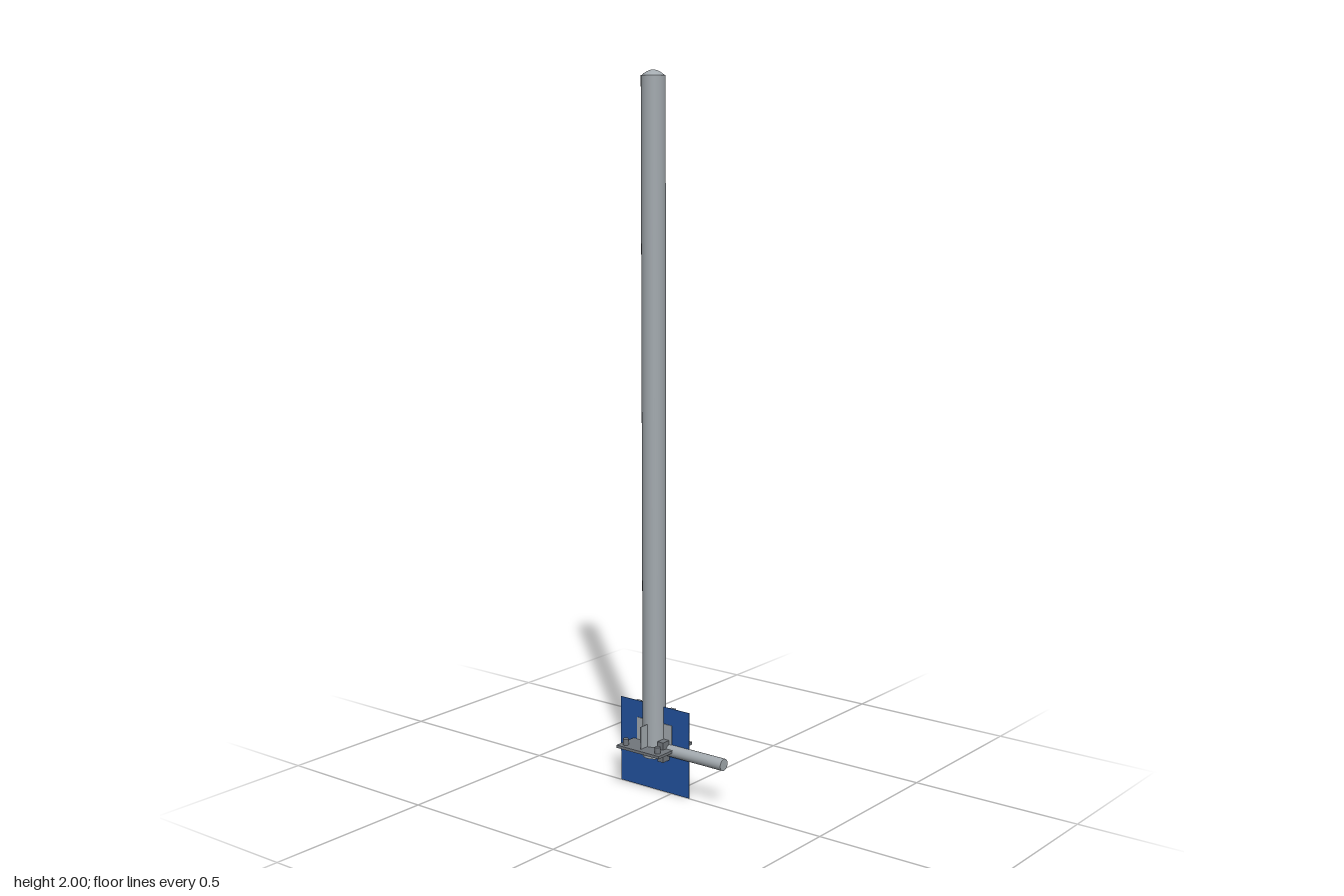
import * as THREE from 'three';

export function createModel() {
  const model = new THREE.Group();
  const paint = (color) => new THREE.MeshStandardMaterial({ color });
  const steel = paint(0xa2a9ae);
  const darkSteel = paint(0x71767c);
  const sheet = paint(0x91989c);
  const blue = paint(0x22529e);
  const poleX = -0.061, rodY = 0.127, panelH = 0.249;

  const add = (name, geometry, material, x, y, z) => {
    const mesh = new THREE.Mesh(geometry, material);
    mesh.name = name;
    mesh.position.set(x, y, z);
    model.add(mesh);
    return mesh;
  };
  const box = (name, material, w, h, d, x, y, z) =>
    add(name, new THREE.BoxGeometry(w, h, d), material, x, y, z);

  // Tall round pole, its foot passing just below the base plate
  add('pole', new THREE.CylinderGeometry(0.033, 0.033, 1.885, 40), steel, poleX, 0.1 + 1.885 / 2, 0);

  // Shallow domed cap, set in slightly from the pole's edge
  const dome = [[0.031, 0], [0.024, 0.006], [0.016, 0.011], [0.008, 0.014], [0, 0.015]];
  add('poleCap', new THREE.LatheGeometry(dome.map(([r, y]) => new THREE.Vector2(r, y)), 40), steel, poleX, 1.985, 0);

  // Square base plate with a bolt in each corner
  box('basePlate', darkSteel, 0.152, 0.008, 0.152, poleX, 0.131, 0);
  for (const sx of [-1, 1]) {
    for (const sz of [-1, 1]) {
      add('bolt', new THREE.CylinderGeometry(0.008, 0.008, 0.03, 24), darkSteel, poleX + sx * 0.057, 0.138, sz * 0.057);
    }
  }

  // Upright gussets crossing through the pole
  box('sideGussets', steel, 0.126, 0.066, 0.002, poleX, 0.167, 0);
  box('frontBackGussets', steel, 0.002, 0.066, 0.124, poleX, 0.167, 0);

  // Sideways rod and its square mounting block
  box('rodBlock', darkSteel, 0.02, 0.058, 0.058, -0.017, rodY, 0);
  const rod = add('rod', new THREE.CylinderGeometry(0.017, 0.017, 0.213, 32), steel, 0.0765, rodY, 0);
  rod.rotation.z = Math.PI / 2;

  // Thin upright panel: coloured face in front, plain sheet and ribs behind
  box('panelFace', blue, 0.245, panelH, 0.001, poleX, panelH / 2, -0.0015);
  box('panelBack', sheet, 0.245, panelH, 0.001, poleX, panelH / 2, -0.0025);
  for (const s of [-1, 1]) {
    box('panelRib', sheet, 0.016, panelH, 0.008, poleX + s * 0.061, panelH / 2, -0.006);
  }
  return model;
}
